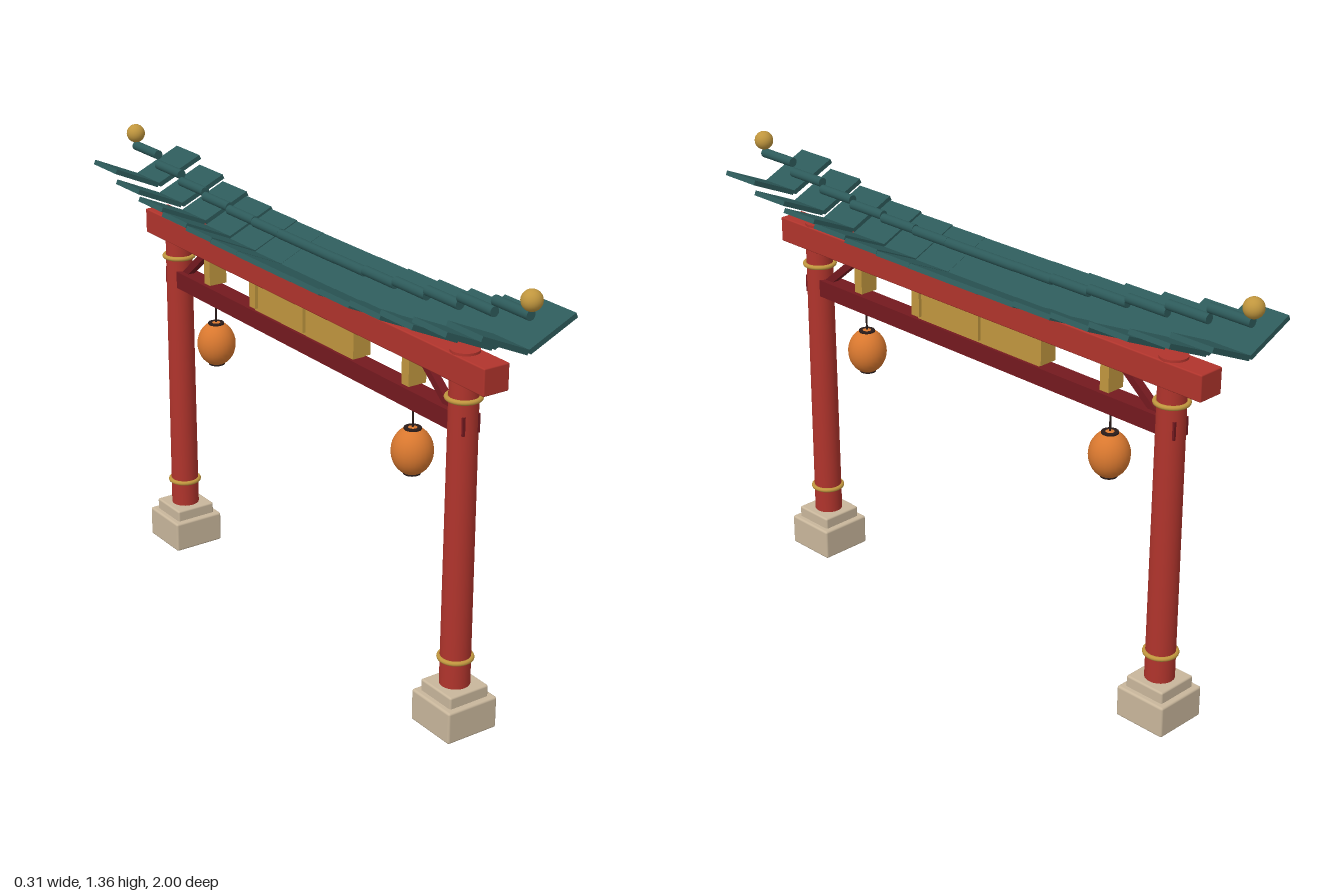
import * as THREE from 'three';
import { RoundedBoxGeometry } from 'three/addons/geometries/RoundedBoxGeometry.js';

const mat = (name, color) => {
  const m = new THREE.MeshStandardMaterial({ color });
  m.name = name;
  return m;
};

export function createModel() {
  const red = mat('red lacquer', 0xb0342c);
  const darkRed = mat('dark red lacquer', 0x74191f);
  const teal = mat('teal tile', 0x2d5a5a);
  const gold = mat('gold', 0xc0963e);
  const stone = mat('stone', 0xc8b69b);
  const orange = mat('orange paper', 0xd9782f);
  const dark = mat('dark iron', 0x2a1c1a);

  const model = new THREE.Group();
  model.name = 'gate';

  const add = (parent, name, geometry, material, x = 0, y = 0, z = 0) => {
    const mesh = new THREE.Mesh(geometry, material);
    mesh.name = name;
    mesh.position.set(x, y, z);
    parent.add(mesh);
    return mesh;
  };
  const box = (w, h, d) => new THREE.BoxGeometry(w, h, d);

  // Beams and the central panel
  add(model, 'topBeam', new RoundedBoxGeometry(0.084, 0.078, 1.7, 2, 0.004), red, 0, 1.079, 0);
  add(model, 'lowerBeam', box(0.058, 0.054, 1.512), darkRed, 0, 0.921, 0);
  add(model, 'centrePanel', box(0.04, 0.152, 0.5), gold, 0, 0.965, 0);
  for (const z of [-0.505, -0.25, 0, 0.25, 0.505]) {
    add(model, 'strut', box(0.06, 0.085, 0.032), gold, 0, 1.0, z);
  }

  // Everything that stands at both ends of the gate
  for (const s of [-1, 1]) {
    const post = new THREE.Group();
    post.name = s > 0 ? 'frontPost' : 'backPost';
    post.position.z = s * 0.72;
    model.add(post);
    add(post, 'plinth', new RoundedBoxGeometry(0.17, 0.098, 0.17, 2, 0.007), stone, 0, 0.049, 0);
    add(post, 'plinthStep', new RoundedBoxGeometry(0.134, 0.05, 0.134, 2, 0.006), stone, 0, 0.108, 0);
    add(post, 'pillar', new THREE.CylinderGeometry(0.041, 0.044, 0.995, 24), red, 0, 0.6275, 0);
    for (const y of [0.215, 0.99]) {
      const ring = add(post, 'ring', new THREE.TorusGeometry(0.046, 0.007, 10, 32), gold, 0, y, 0);
      ring.rotation.x = Math.PI / 2;
    }

    // Diagonal brace between pillar and top beam
    const brace = add(model, 'brace', box(0.024, 0.19, 0.022), darkRed, 0, 0.99, s * 0.612);
    brace.rotation.x = -s * 0.88;

    // Hanging lantern
    const lantern = new THREE.Group();
    lantern.name = 'lantern';
    lantern.position.set(0, 0.759, s * 0.505);
    model.add(lantern);
    const body = add(lantern, 'lanternBody', new THREE.SphereGeometry(0.06, 24, 16), orange);
    body.scale.y = 1.18;
    for (const y of [-0.063, 0.063]) {
      add(lantern, 'lanternCap', new THREE.CylinderGeometry(0.025, 0.025, 0.012, 20), dark, 0, y, 0);
    }
    add(lantern, 'cord', new THREE.CylinderGeometry(0.003, 0.003, 0.09, 8), dark, 0, 0.105, 0);

    // Ball at the end of the ridge
    add(model, 'ridgeBall', new THREE.SphereGeometry(0.029, 24, 16), gold, 0, 1.33, s * 0.971);
  }

  // Roof: stepped segments that rise towards both ends
  const roof = new THREE.Group();
  roof.name = 'roof';
  model.add(roof);
  const count = 14;
  const step = 1.94 / count;
  const slabGeometry = box(0.165, 0.015, step);
  const ridgeGeometry = new THREE.CylinderGeometry(0.0145, 0.0145, step, 16);
  ridgeGeometry.rotateX(Math.PI / 2);
  for (let i = 0; i < count; i++) {
    const z = (i + 0.5) * step - 0.97;
    const lift = 0.1 * Math.abs(z / 0.97) ** 3;
    for (const s of [-1, 1]) {
      const slab = add(roof, 'roofSlab', slabGeometry, teal, s * 0.078, 1.146 + lift, z);
      slab.rotation.z = s * 0.42;
    }
    add(roof, 'ridge', ridgeGeometry, teal, 0, 1.21 + lift, z);
  }

  return model;
}
